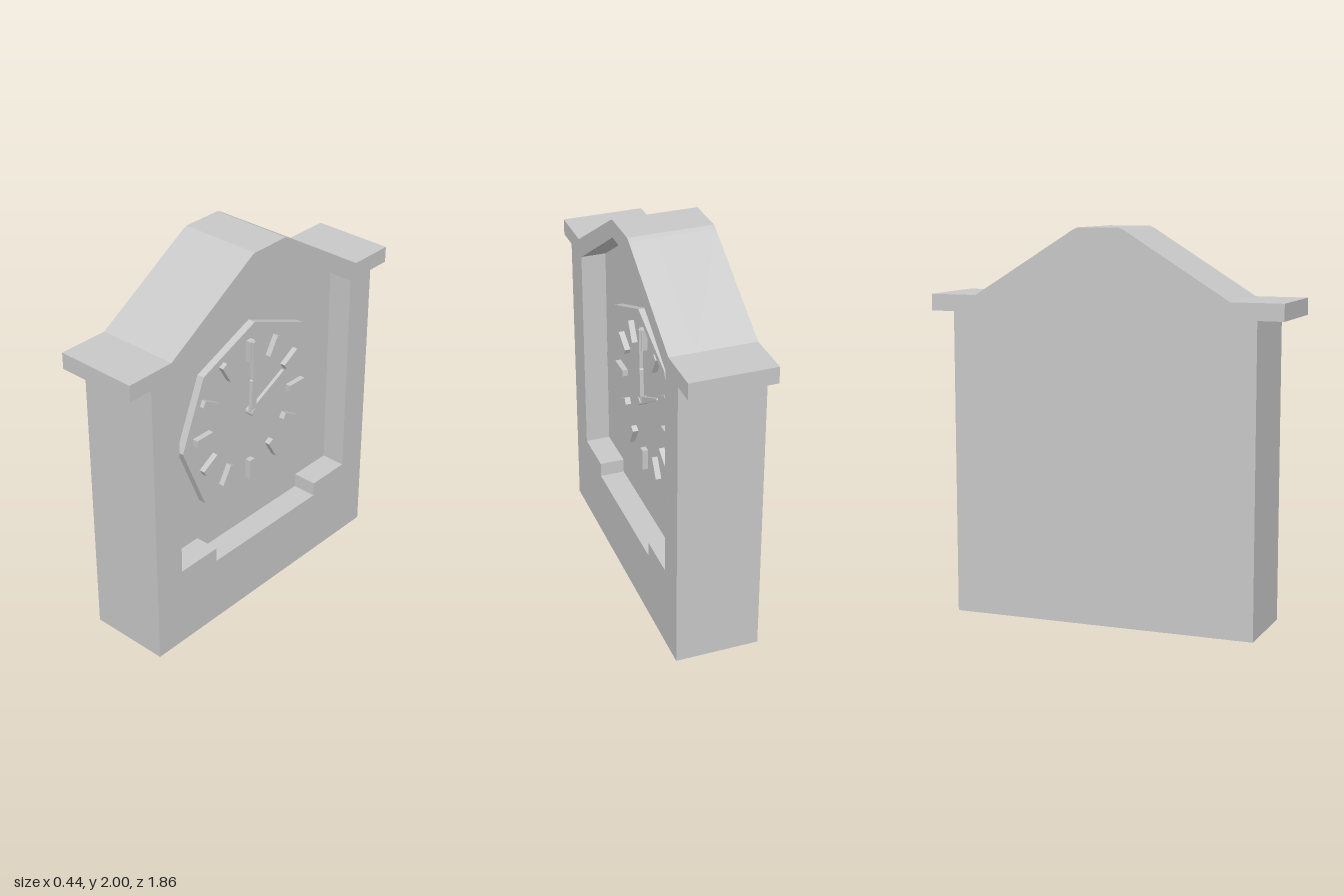
import * as THREE from 'three';

export function createModel() {
  const model = new THREE.Group();
  model.name = 'mantelClock';
  // Parts are drawn in (u, y) facing +z, then turned so the dial faces +x.
  const clock = new THREE.Group();
  clock.name = 'clock';
  clock.rotation.y = Math.PI / 2;
  model.add(clock);

  const grey = new THREE.MeshStandardMaterial({ color: 0xc8c8c8 });
  grey.name = 'plain grey';

  const HALF = 0.218, FLOOR = 0.087;
  const points = (list) => list.map(([x, y]) => new THREE.Vector2(x, y));

  function plate(name, outline, from, to, hole, parent = clock) {
    const shape = new THREE.Shape(points(outline));
    if (hole) shape.holes.push(new THREE.Path(points(hole)));
    const geometry = new THREE.ExtrudeGeometry(shape, { depth: to - from, bevelEnabled: false });
    geometry.translate(0, 0, from);
    const mesh = new THREE.Mesh(geometry, grey);
    mesh.name = name;
    parent.add(mesh);
    return mesh;
  }

  // Case silhouette with eaves and a gabled top
  const silhouette = [
    [-0.8, 0], [0.803, 0], [0.803, 1.57], [0.928, 1.57], [0.928, 1.655], [0.68, 1.655],
    [0.145, 1.988], [0.12, 2], [-0.1, 2], [-0.125, 1.988],
    [-0.665, 1.655], [-0.932, 1.655], [-0.932, 1.57], [-0.8, 1.57],
  ];
  // Recess with a dropped sill
  const recess = [
    [-0.627, 0.443], [-0.377, 0.443], [-0.377, 0.365], [0.397, 0.365], [0.397, 0.443],
    [0.64, 0.443], [0.64, 1.57], [0.115, 1.907], [-0.1, 1.907], [-0.627, 1.57],
  ];
  plate('caseBack', silhouette, -HALF, FLOOR);
  plate('caseFrame', silhouette, FLOOR, HALF, recess);

  const dial = new THREE.Group();
  dial.name = 'dial';
  dial.position.set(0.008, 1.038, FLOOR);
  clock.add(dial);

  // Eight-sided bezel
  const octagon = (r) => Array.from({ length: 8 }, (_, i) => {
    const a = (i * Math.PI) / 4;
    return [r * Math.sin(a), r * Math.cos(a)];
  });
  plate('bezel', octagon(0.519), 0, 0.04, octagon(0.484), dial);

  // Hour markers
  for (let i = 0; i < 12; i++) {
    const marker = plate('hourMarker',
      [[-0.018, 0.293], [0.018, 0.293], [0.018, 0.407], [-0.018, 0.407]], 0, 0.03, null, dial);
    marker.rotation.z = (-i * Math.PI) / 6;
  }

  // Hands and hub
  plate('minuteHand', [
    [-0.02, 0], [0.02, 0], [0.013, 0.185], [0.008, 0.19], [0.01, 0.405],
    [-0.01, 0.405], [-0.008, 0.19], [-0.013, 0.185],
  ], 0.02, 0.04, null, dial);
  const hourHand = plate('hourHand',
    [[-0.02, 0], [0.02, 0], [0.004, 0.275], [-0.004, 0.275]], 0.015, 0.033, null, dial);
  hourHand.rotation.z = -Math.PI / 3;
  const hub = new THREE.Mesh(new THREE.CylinderGeometry(0.021, 0.021, 0.045, 12), grey);
  hub.name = 'hub';
  hub.rotation.x = Math.PI / 2;
  hub.position.z = 0.0225;
  dial.add(hub);

  return model;
}
